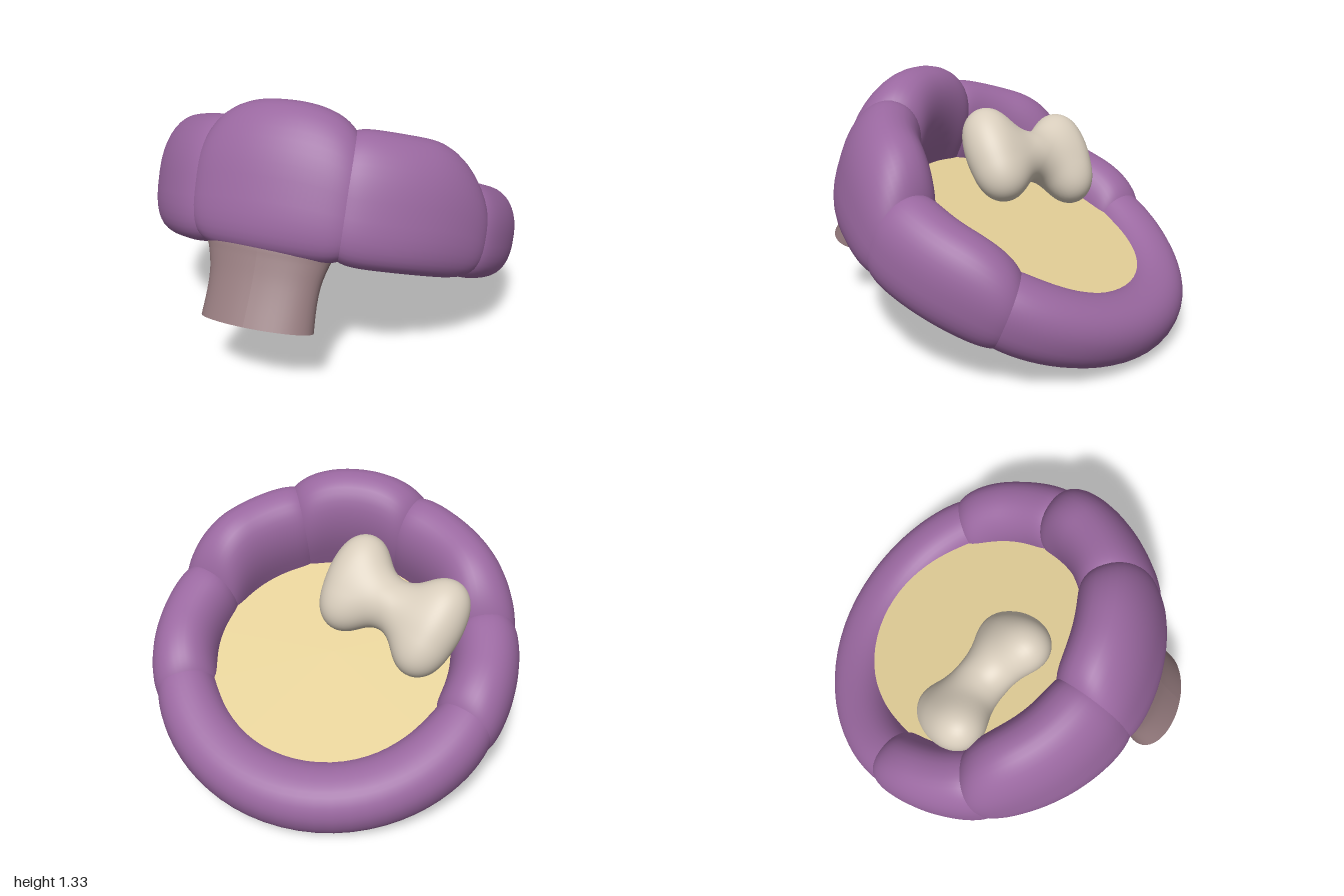
import * as THREE from 'three';
import { mergeVertices } from 'three/addons/utils/BufferGeometryUtils.js';

const TILT = 0.38;      // whole bed leans back by this angle
const RING_Z = -0.055;  // ring centre in the tilted frame

const material = (name, color) => {
  const m = new THREE.MeshStandardMaterial({ color });
  m.name = name;
  return m;
};

const addMesh = (parent, name, geometry, mat) => {
  const mesh = new THREE.Mesh(geometry, mat);
  mesh.name = name;
  parent.add(mesh);
  return mesh;
};

// One stuffed section of the rim: an oval swept along an arc, pinched at both ends.
function cushion(startDeg, endDeg, hStart, hMid, hEnd) {
  const rows = 40, sides = 40, overlap = 1.5, pos = [], index = [];
  for (let i = -1; i <= rows + 1; i++) {
    const k = Math.min(Math.max(i, 0), rows);
    const t = (1 - Math.cos((Math.PI * k) / rows)) / 2;
    const e = 2 * t - 1;
    const angle = THREE.MathUtils.degToRad(THREE.MathUtils.lerp(startDeg - overlap, endDeg + overlap, t));
    const edge = e < 0 ? hStart : hEnd;
    const height = hMid + (edge - hMid) * Math.abs(e) ** 2.4;
    const front = (1 + Math.cos(angle)) / 2;
    const centre = 0.783 + 0.037 * front * front;
    const width = 0.17 + 0.032 * front * front;
    const bottom = -0.035 * (1 - front);
    const pinch = i === k ? 1 - 0.1 * Math.abs(e) ** 8 : 0;   // closed ends
    for (let j = 0; j < sides; j++) {
      const a = (j / sides) * Math.PI * 2;
      const c = Math.cos(a), s = Math.sin(a);
      const power = s < 0 ? 0.92 - 0.3 * front : 0.92;          // flatter underneath at the front
      const r = centre + pinch * width * Math.sign(c) * Math.abs(c) ** power;
      const y = bottom + (height / 2) * (1 + pinch * Math.sign(s) * Math.abs(s) ** power);
      pos.push(r * Math.sin(angle), y, r * Math.cos(angle));
    }
  }
  for (let i = 0; i < rows + 2; i++) {
    for (let j = 0; j < sides; j++) {
      const n = (j + 1) % sides;
      const a = i * sides + j, b = a + sides;
      const d = i * sides + n, c = d + sides;
      index.push(a, b, c, a, c, d);
    }
  }
  const g = new THREE.BufferGeometry();
  g.setAttribute('position', new THREE.Float32BufferAttribute(pos, 3));
  g.setIndex(index);
  g.computeVertexNormals();
  return g;
}

// Soft bone: a sphere pushed out to the blended surface of four knobs and a shaft.
function boneGeometry() {
  const V = (x, y, z) => new THREE.Vector3(x, y, z);
  const knobs = [V(-0.445, 0.66, -0.24), V(-0.575, 0.91, -0.09), V(-0.03, 0.76, -0.02), V(-0.13, 1.01, 0.14)];
  const shaft = new THREE.Line3(
    knobs[0].clone().lerp(knobs[1], 0.5),
    knobs[2].clone().lerp(knobs[3], 0.5)
  );
  const centre = shaft.getCenter(V(0, 0, 0));
  const near = V(0, 0, 0);
  const blend = (a, b, k) => {
    const h = Math.max(k - Math.abs(a - b), 0) / k;
    return Math.min(a, b) - (h * h * k) / 4;
  };
  const distance = (p) => {
    shaft.closestPointToPoint(p, true, near);
    return knobs.reduce((d, q) => blend(d, p.distanceTo(q) - 0.107, 0.18), p.distanceTo(near) - 0.138);
  };

  let g = new THREE.IcosahedronGeometry(1, 24);
  g.deleteAttribute('normal');
  g.deleteAttribute('uv');
  g = mergeVertices(g, 1e-4);
  const p = g.attributes.position;
  const dir = V(0, 0, 0), point = V(0, 0, 0);
  for (let i = 0; i < p.count; i++) {
    dir.fromBufferAttribute(p, i).normalize();
    let lo = 0, hi = 0.7;
    for (let n = 0; n < 22; n++) {
      const mid = (lo + hi) / 2;
      if (distance(point.copy(centre).addScaledVector(dir, mid)) < 0) lo = mid;
      else hi = mid;
    }
    point.copy(centre).addScaledVector(dir, lo);
    p.setXYZ(i, point.x, point.y, point.z);
  }
  g.computeVertexNormals();
  return g;
}

// Oval stem side: flares sideways towards the top while getting thinner front to back.
function stemGeometry() {
  const profile = new THREE.SplineCurve([
    [0.282, -0.326], [0.276, -0.2], [0.282, -0.1], [0.305, -0.01], [0.325, 0.04], [0.33, 0.1],
  ].map(([r, y]) => new THREE.Vector2(r, y))).getPoints(20);
  const g = new THREE.LatheGeometry(profile, 48);
  const p = g.attributes.position;
  for (let i = 0; i < p.count; i++) {
    const k = (p.getY(i) + 0.326) / 0.38;
    p.setZ(i, p.getZ(i) * (0.56 - 0.14 * k) - 0.03 * k);
  }
  g.computeVertexNormals();
  return g;
}

export function createModel() {
  const purple = material('purple fabric', 0x9a68a0);
  const tan = material('tan cushion', 0xe4d098);
  const mauve = material('mauve base', 0x947a7d);
  const cream = material('cream bone', 0xd8cdbc);

  const model = new THREE.Group();
  model.name = 'petBed';
  const bed = new THREE.Group();
  bed.name = 'tiltedBed';
  bed.position.y = 0.36;
  bed.rotation.x = -TILT;
  model.add(bed);

  // Padded rim: tall at the front, low at the back
  const rim = new THREE.Group();
  rim.name = 'rim';
  rim.position.z = RING_Z;
  bed.add(rim);
  const sections = [
    ['frontCushion', -24, 21, 0.65, 0.735, 0.65],
    ['frontLeftCushion', 21, 67, 0.65, 0.65, 0.47],
    ['leftCushion', 67, 111, 0.49, 0.48, 0.4],
    ['backCushion', 111, 245, 0.41, 0.335, 0.41],
    ['rightCushion', 245, 284, 0.4, 0.47, 0.47],
    ['frontRightCushion', 284, 336, 0.47, 0.64, 0.65],
  ];
  for (const [name, ...shape] of sections) addMesh(rim, name, cushion(...shape), purple);

  // Solid base with the sleeping pad on top
  const base = addMesh(bed, 'base', new THREE.CylinderGeometry(0.74, 0.645, 0.1, 64), mauve);
  base.position.set(0, 0.05, RING_Z);
  const pad = addMesh(bed, 'pad', new THREE.CylinderGeometry(0.68, 0.68, 0.16, 64), tan);
  pad.position.set(0, 0.175, RING_Z);

  // Flared oval stem under the front cushion
  const stem = new THREE.Group();
  stem.name = 'stem';
  stem.position.set(-0.03, 0, 0.79);
  bed.add(stem);
  addMesh(stem, 'stemSide', stemGeometry(), mauve);
  const foot = addMesh(stem, 'stemFoot', new THREE.CircleGeometry(0.282, 48), mauve);
  foot.rotation.x = Math.PI / 2;
  foot.scale.y = 0.56;
  foot.position.y = -0.326;

  // Toy bone leaning on the rim
  addMesh(model, 'bone', boneGeometry(), cream);

  return model;
}
